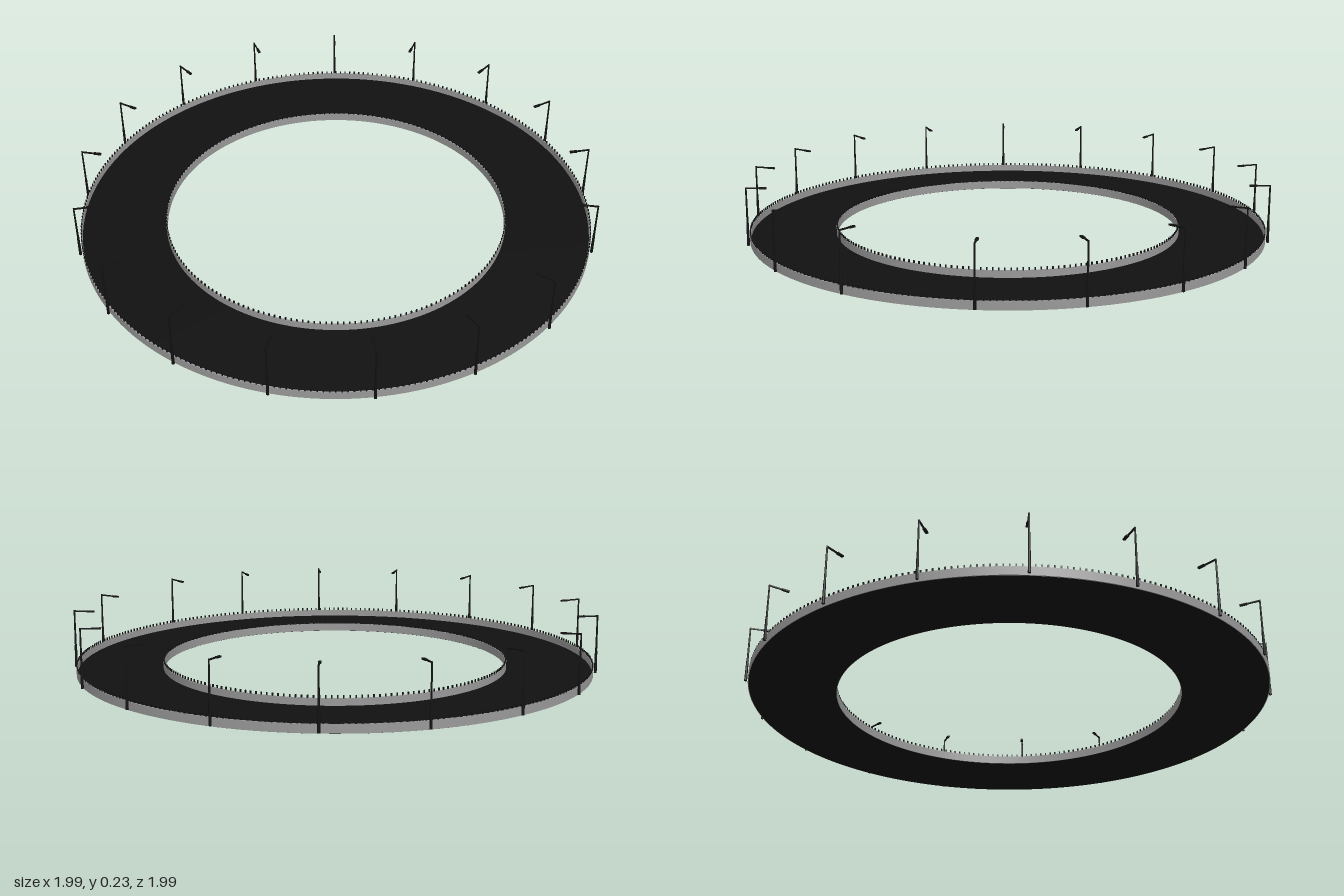
import * as THREE from 'three';
import { mergeGeometries, toCreasedNormals } from 'three/addons/utils/BufferGeometryUtils.js';

const black = new THREE.MeshStandardMaterial({ color: 0x111111 });
const grey = new THREE.MeshStandardMaterial({ color: 0x999999 });

// Flat ring with a rectangular section, from y0 to y1
function ring(inner, outer, y0, y1) {
  const shape = new THREE.Shape().absarc(0, 0, outer, 0, Math.PI * 2);
  shape.holes.push(new THREE.Path().absarc(0, 0, inner, 0, Math.PI * 2, true));
  const g = new THREE.ExtrudeGeometry(shape, { depth: y1 - y0, bevelEnabled: false, curveSegments: 96 });
  g.rotateX(-Math.PI / 2).translate(0, y0, 0);
  return toCreasedNormals(g, 0.5);
}

// Ring of small upright posts along the top of a barrier
function railPosts(radius, count) {
  const posts = [];
  for (let i = 0; i < count; i++) {
    posts.push(new THREE.BoxGeometry(0.004, 0.012, 0.005)
      .translate(radius, 0.036, 0)
      .rotateY((i / count) * Math.PI * 2));
  }
  return mergeGeometries(posts);
}

// Street lamp: thick base, slim pole and an arm reaching inward (-x)
function lampGeometry() {
  const parts = [
    new THREE.CylinderGeometry(0.0045, 0.0055, 0.085, 8).translate(0, 0.0475, 0),
    new THREE.CylinderGeometry(0.003, 0.0038, 0.135, 8).translate(0, 0.1575, 0),
    new THREE.BoxGeometry(0.05, 0.005, 0.005).rotateZ(0.05).translate(-0.024, 0.221, 0),
    new THREE.BoxGeometry(0.028, 0.006, 0.01).rotateZ(0.05).translate(-0.061, 0.219, 0),
  ];
  return mergeGeometries(parts);
}

export function createModel() {
  const model = new THREE.Group();
  model.name = 'ringRoad';
  const add = (name, geometry, material) => {
    const mesh = new THREE.Mesh(geometry, material);
    mesh.name = name;
    model.add(mesh);
    return mesh;
  };

  // Road surface
  add('roadDeck', ring(0.657, 0.982, 0, 0.006), black);

  // Barriers along both edges, with rows of posts on top
  add('outerBarrier', ring(0.98, 0.985, 0.001, 0.032), grey);
  add('innerBarrier', ring(0.655, 0.66, 0.001, 0.032), grey);
  add('outerRailPosts', railPosts(0.9825, 300), black);
  add('innerRailPosts', railPosts(0.6575, 200), black);

  // Lamps around the outer edge, evenly stepped with a wider last gap
  const lamp = lampGeometry();
  for (let i = 0; i < 17; i++) {
    const angle = THREE.MathUtils.degToRad(90 + i * 20.8);
    const mesh = add('streetLamp' + (i + 1), lamp, black);
    mesh.position.set(Math.cos(angle) * 0.993, 0, Math.sin(angle) * 0.993);
    mesh.rotation.y = -angle;
  }

  for (const part of model.children) {
    part.position.x -= 0.004;
    part.position.z -= 0.004;
  }
  return model;
}
